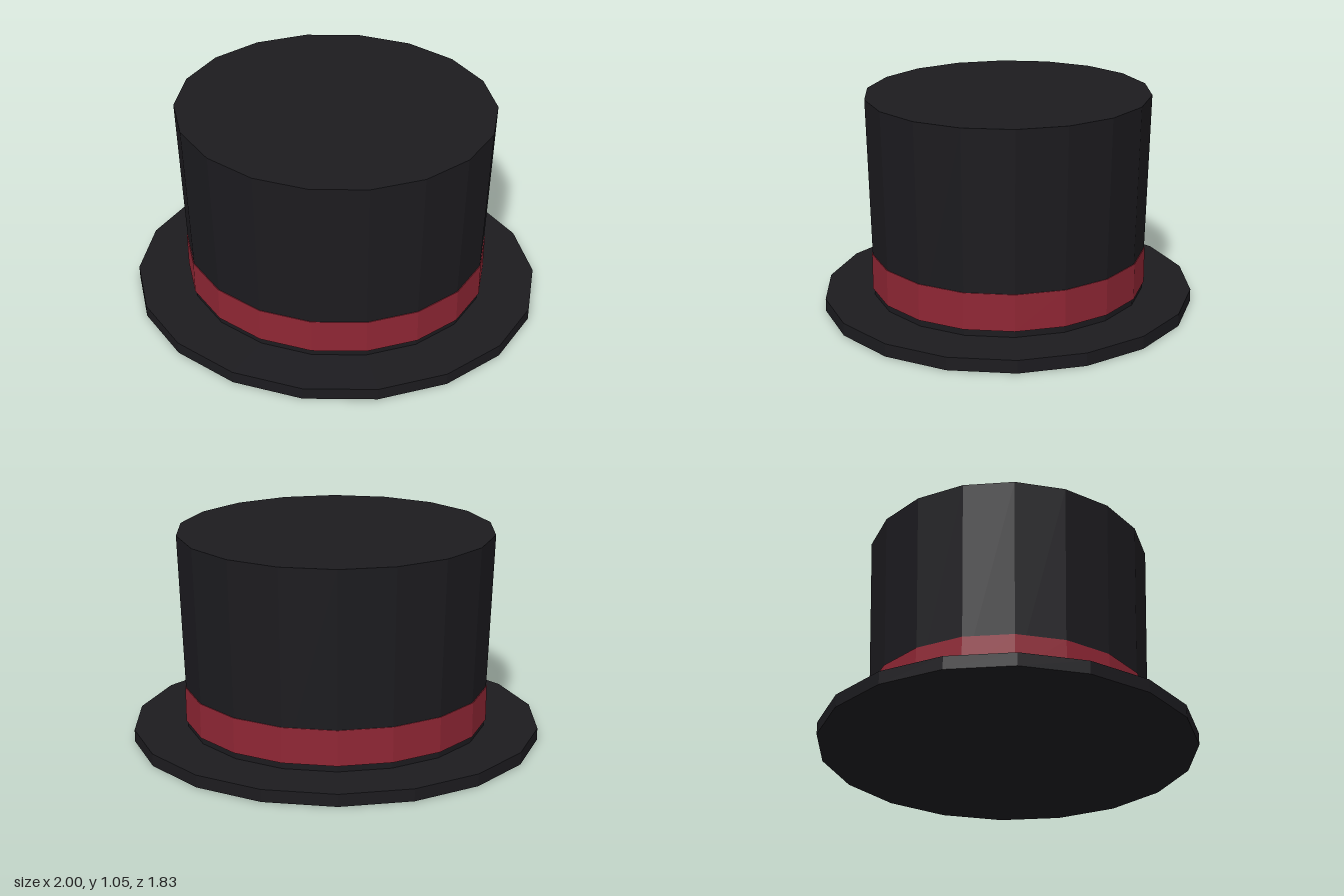
import * as THREE from 'three';

const SIDES = 18;
const DEPTH = 0.9; // the hat is slightly oval, narrower front to back

export function createModel() {
  const hat = new THREE.Group();
  hat.name = 'topHat';

  const felt = new THREE.MeshStandardMaterial({ color: 0x1c1b1f, flatShading: true });
  const ribbon = new THREE.MeshStandardMaterial({ color: 0x8f2634, flatShading: true });

  // Oval faceted ring section between two heights
  function section(name, topRadius, bottomRadius, y0, y1, material) {
    const geometry = new THREE.CylinderGeometry(topRadius, bottomRadius, y1 - y0, SIDES);
    geometry.scale(1, 1, DEPTH);
    geometry.translate(0, (y0 + y1) / 2, 0);
    const mesh = new THREE.Mesh(geometry, material);
    mesh.name = name;
    hat.add(mesh);
  }

  // Flat brim, flaring crown, ribbon standing just proud of the crown
  section('brim', 1.0154, 1.0154, 0, 0.062, felt);
  section('crown', 0.776, 0.747, 0.062, 1.046, felt);
  section('band', 0.757, 0.757, 0.094, 0.272, ribbon);

  return hat;
}
